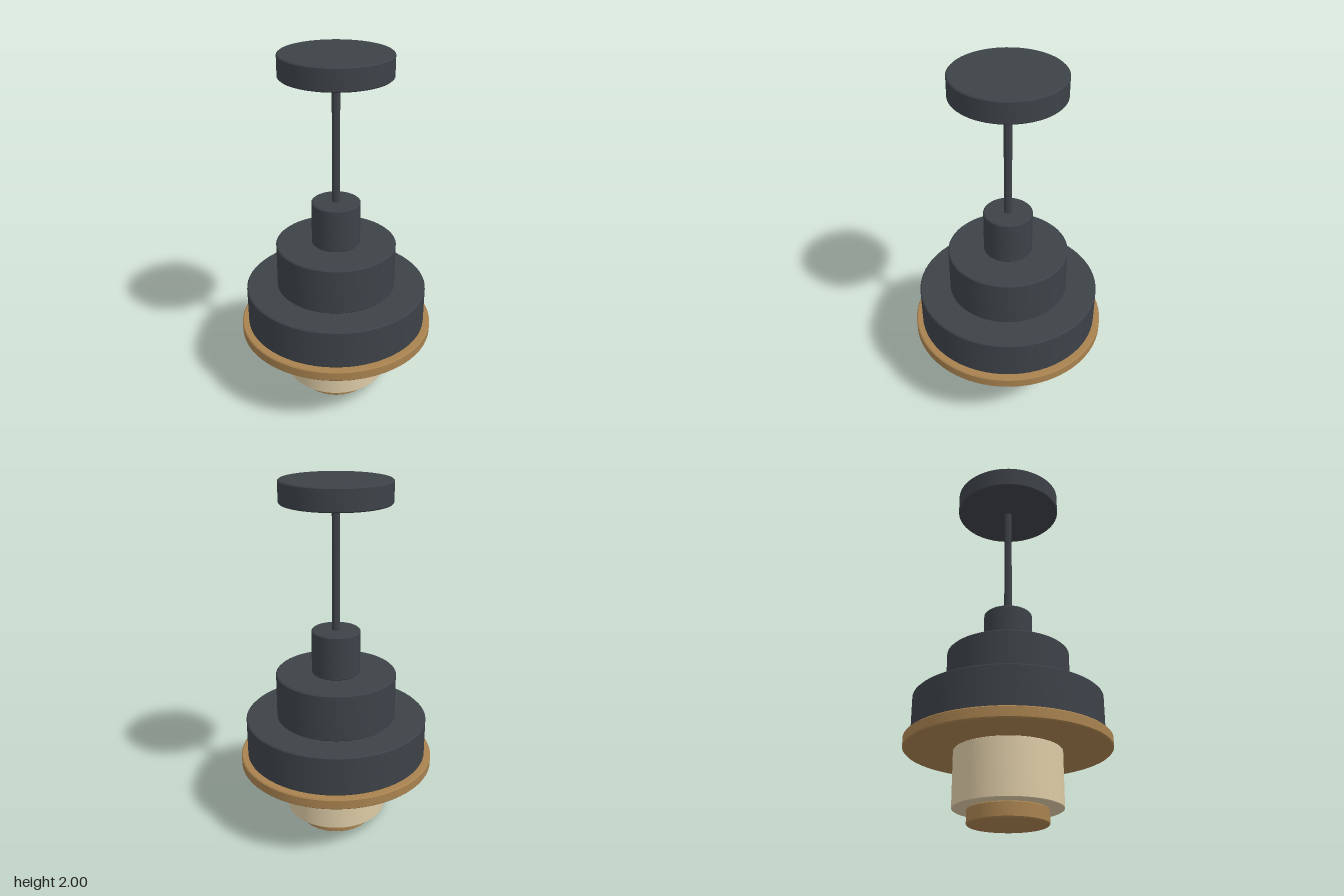
import * as THREE from 'three';
import { toCreasedNormals } from 'three/addons/utils/BufferGeometryUtils.js';

const material = (name, color) => {
  const m = new THREE.MeshStandardMaterial({ color });
  m.name = name;
  return m;
};

// Solid disc or drum with a fine bevel on both rims
function drum(name, radius, bottom, top, mat, bevel = 0.006) {
  const profile = [
    [0, bottom], [radius - bevel, bottom], [radius, bottom + bevel],
    [radius, top - bevel], [radius - bevel, top], [0, top],
  ].map(([x, y]) => new THREE.Vector2(x, y));
  const geometry = toCreasedNormals(new THREE.LatheGeometry(profile, 64), 0.5);
  const mesh = new THREE.Mesh(geometry, mat);
  mesh.name = name;
  return mesh;
}

export function createModel() {
  const dark = material('charcoal metal', 0x3d4248);
  const brass = material('brass', 0xa8824f);
  const cream = material('cream glass', 0xdccaa5);

  const lamp = new THREE.Group();
  lamp.name = 'pendantLamp';

  // Ceiling mount and hanging rod
  lamp.add(drum('ceilingCanopy', 0.30, 1.88, 2, dark));
  lamp.add(drum('rod', 0.022, 1.18, 1.882, dark, 0.003));

  // Stepped shade
  lamp.add(drum('shadeNeck', 0.136, 0.934, 1.185, dark));
  lamp.add(drum('shadeUpperTier', 0.338, 0.667, 0.935, dark));
  lamp.add(drum('shadeLowerTier', 0.515, 0.441, 0.668, dark));
  lamp.add(drum('shadeRim', 0.553, 0.381, 0.442, brass));

  // Diffuser and its end cap
  lamp.add(drum('diffuser', 0.289, 0.08, 0.382, cream, 0.003));
  lamp.add(drum('diffuserCap', 0.213, 0, 0.081, brass));

  return lamp;
}
